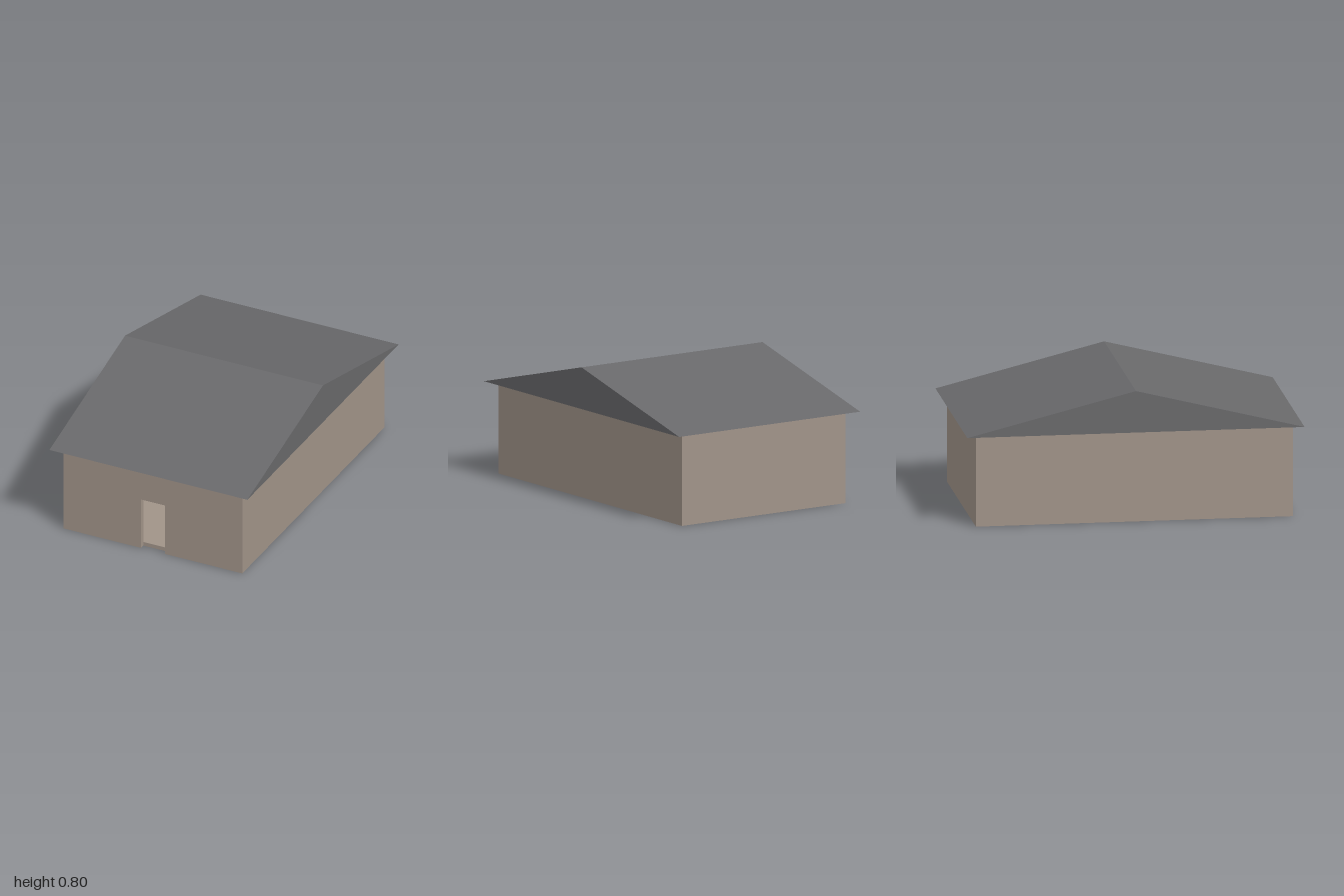
import * as THREE from 'three';

const W = 0.585, D = 0.94, H = 0.55;   // wall half width, half depth, height
const T = 0.03;                        // wall thickness
const DOOR_W = 0.078, DOOR_H = 0.33;   // door half width, height
const ROOF_X = 0.648, ROOF_Z = 1, RIDGE = 0.8;

// Extrude a closed outline of [x, y] points along +z
function extrude(points, depth) {
  const shape = new THREE.Shape(points.map(([x, y]) => new THREE.Vector2(x, y)));
  return new THREE.ExtrudeGeometry(shape, { depth, bevelEnabled: false });
}

export function createModel() {
  const house = new THREE.Group();
  house.name = 'house';
  const wallMat = new THREE.MeshStandardMaterial({ color: 0xa09388 });
  wallMat.name = 'warm grey wall';
  const roofMat = new THREE.MeshStandardMaterial({ color: 0x68686a });
  roofMat.name = 'dark grey roof';

  function add(name, geometry, material, x = 0, y = 0, z = 0) {
    const mesh = new THREE.Mesh(geometry, material);
    mesh.name = name;
    mesh.position.set(x, y, z);
    house.add(mesh);
    return mesh;
  }

  // Front wall with an open doorway reaching the ground
  add('frontWall', extrude([
    [-W, 0], [-DOOR_W, 0], [-DOOR_W, DOOR_H], [DOOR_W, DOOR_H],
    [DOOR_W, 0], [W, 0], [W, H], [-W, H],
  ], T), wallMat, 0, 0, D - T);

  // Plain back and side walls
  add('backWall', new THREE.BoxGeometry(2 * W, H, T), wallMat, 0, H / 2, -D + T / 2);
  for (const [name, side] of [['leftWall', 1], ['rightWall', -1]]) {
    add(name, new THREE.BoxGeometry(T, H, 2 * (D - T)), wallMat, side * (W - T / 2), H / 2, 0);
  }

  // Floor slab inside the walls
  add('floor', new THREE.BoxGeometry(2 * (W - T), 0.025, 2 * (D - T)), wallMat, 0, 0.0125, 0);

  // Gable roof: a triangular prism with its ridge along x
  const roof = add('roof', extrude([[-ROOF_Z, H], [ROOF_Z, H], [0, RIDGE]], 2 * ROOF_X), roofMat, -ROOF_X);
  roof.rotation.y = Math.PI / 2;

  return house;
}
